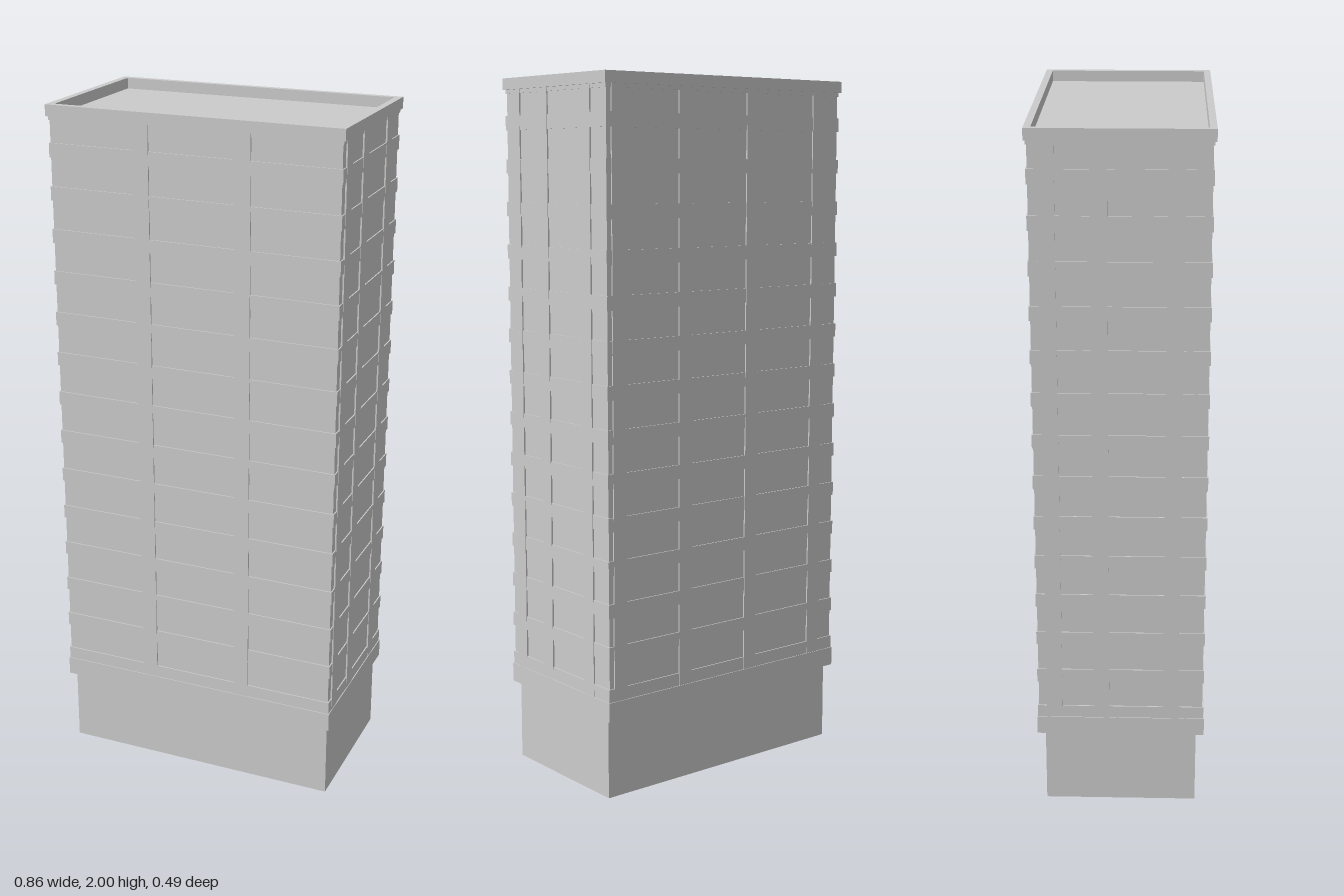
import * as THREE from 'three';

const material = new THREE.MeshStandardMaterial({ color: 0xcccccc, flatShading: true });

export function createModel() {
  const model = new THREE.Group();
  model.name = 'towerBlock';

  function box(name, w, h, d, x, yBottom, z) {
    const mesh = new THREE.Mesh(new THREE.BoxGeometry(w, h, d), material);
    mesh.name = name;
    mesh.position.set(x, yBottom + h / 2, z);
    model.add(mesh);
    return mesh;
  }

  // Recessed ground storey, main shaft (its top is the roof) and lower ledge
  box('groundStorey', 0.83, 0.23, 0.438, 0, 0, 0);
  box('towerWalls', 0.844, 1.735, 0.472, 0, 0.23, 0);
  box('lowerLedge', 0.856, 0.055, 0.484, 0, 0.23, 0);

  // Floor bands wrapping the shaft
  const floors = 14, pitch = 0.121;
  for (let i = 0; i < floors; i++) {
    box('floorBand' + (i + 1), 0.851, 0.04, 0.479, 0, 0.282 + i * pitch, 0);
  }

  // Vertical strips running up each face
  const low = 0.28, tall = 1.69, width = 0.045, depth = 0.01;
  for (const x of [-0.148, 0.148]) box('frontStrip', width, tall, depth, x, low, 0.2355);
  for (const x of [0.385, 0.155, -0.09, -0.345]) box('backStrip', width, tall, depth, x, low, -0.2355);
  for (const side of [1, -1]) {
    for (const z of [0.19, 0.055, -0.145]) {
      box(side > 0 ? 'leftStrip' : 'rightStrip', depth, tall, width, side * 0.4215, low, side * z);
    }
  }

  // Parapet ring around the sunken roof
  const rectangle = (path, x, z) =>
    path.moveTo(-x, -z).lineTo(x, -z).lineTo(x, z).lineTo(-x, z).closePath();
  const ring = rectangle(new THREE.Shape(), 0.431, 0.244);
  ring.holes.push(rectangle(new THREE.Path(), 0.411, 0.225));
  const parapetGeometry = new THREE.ExtrudeGeometry(ring, { depth: 0.032, bevelEnabled: false });
  parapetGeometry.rotateX(-Math.PI / 2);
  const parapet = new THREE.Mesh(parapetGeometry, material);
  parapet.name = 'parapet';
  parapet.position.y = 1.968;
  model.add(parapet);

  // Short collar closing the walls below the parapet
  box('parapetCollar', 0.85, 0.012, 0.478, 0, 1.957, 0);

  return model;
}
